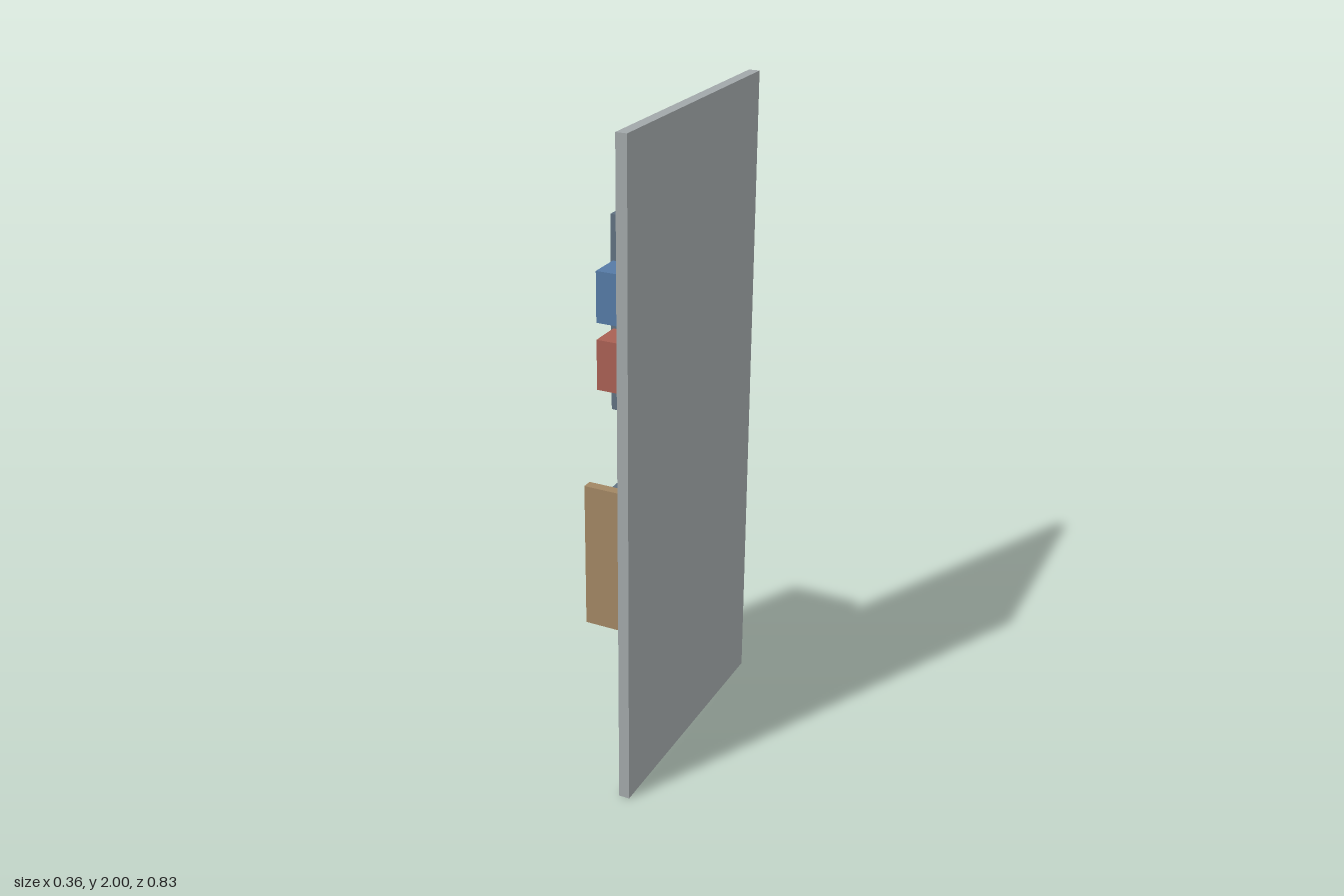
import * as THREE from 'three';

const makeMaterial = (name, color) => {
  const m = new THREE.MeshStandardMaterial({ color });
  m.name = name;
  return m;
};

// Box given by its extents on each axis
function slab(name, material, [x0, x1], [y0, y1], [z0, z1]) {
  const mesh = new THREE.Mesh(new THREE.BoxGeometry(x1 - x0, y1 - y0, z1 - z0), material);
  mesh.position.set((x0 + x1) / 2, (y0 + y1) / 2, (z0 + z1) / 2);
  mesh.name = name;
  return mesh;
}

export function createModel() {
  const grey = makeMaterial('panel grey', 0xa1a7a9);
  const slate = makeMaterial('slate', 0x5f7080);
  const tan = makeMaterial('wood tan', 0xa18663);
  const blue = makeMaterial('blue', 0x557aa5);
  const red = makeMaterial('red', 0xa86053);

  const model = new THREE.Group();
  model.name = 'wallPanelUnit';

  // Tall upright panel that carries everything
  model.add(slab('sidePanel', grey, [0.146, 0.179], [0, 2], [-0.416, 0.416]));

  // Lower compartment: front plate with a deep box behind it
  const compartment = new THREE.Group();
  compartment.name = 'lowerCompartment';
  compartment.add(
    slab('compartmentFront', tan, [-0.179, 0.137], [0.295, 0.777], [-0.018, 0.015]),
    slab('compartmentBox', slate, [-0.13, 0.12], [0.325, 0.745], [-0.416, -0.018]),
  );
  model.add(compartment);

  // Upper bracket plate with two blocks standing just off its front
  const bracket = new THREE.Group();
  bracket.name = 'upperBracket';
  bracket.add(slab('bracketPlate', slate, [-0.021, 0.146], [1.11, 1.692], [0.1, 0.13]));
  for (const [name, material, y] of [['upperBlock', blue, 1.41], ['lowerBlock', red, 1.21]]) {
    bracket.add(slab(name, material, [-0.013, 0.102], [y, y + 0.15], [0.132, 0.232]));
  }
  model.add(bracket);

  return model;
}
